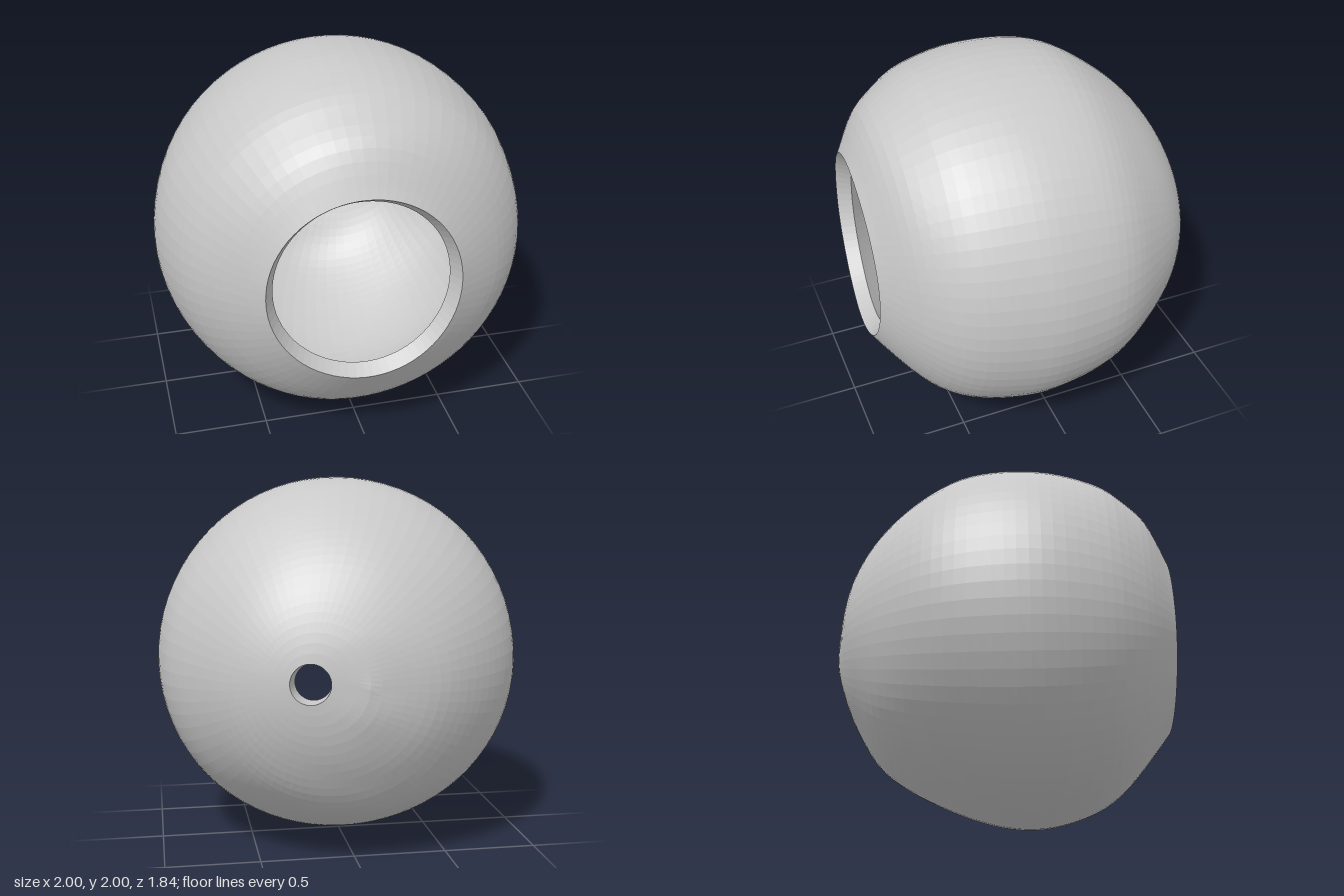
import * as THREE from 'three';

const SEGMENTS = 72, ROWS = 44, WALL = 0.09;
const FRONT_ANGLE = 0.511, BACK_ANGLE = Math.PI - 0.11;

// Meridian outlines [z, distance from the z axis], from front rim to back pole
const OUTLINES = {
  top: [[0.886, 0.53], [0.775, 0.75], [0.63, 0.865], [0.467, 0.95], [0.15, 1], [-0.23, 0.96],
    [-0.525, 0.78], [-0.74, 0.55], [-0.87, 0.27], [-0.92, 0]],
  bottom: [[0.907, 0.49], [0.67, 0.79], [0.456, 0.93], [0.16, 0.995], [-0.18, 0.93],
    [-0.6, 0.73], [-0.79, 0.48], [-0.9, 0.2], [-0.92, 0]],
  left: [[0.91, 0.444], [0.733, 0.727], [0.535, 0.895], [0.25, 0.98], [0.03, 1], [-0.25, 0.96],
    [-0.48, 0.83], [-0.72, 0.62], [-0.856, 0.36], [-0.92, 0]],
  right: [[0.866, 0.54], [0.67, 0.77], [0.43, 0.93], [0.08, 1], [-0.32, 0.92], [-0.615, 0.72],
    [-0.84, 0.4], [-0.92, 0]],
};

// Turns an outline into a lookup of radius by angle from the front axis
function radiusLookup(outline) {
  const samples = new THREE.SplineCurve(outline.map(([z, r]) => new THREE.Vector2(z, r)))
    .getPoints(160).map((p) => [Math.atan2(p.y, p.x), p.length()]);
  return (angle) => {
    const k = samples.findIndex((s) => s[0] >= angle);
    if (k === 0) return samples[0][1];
    if (k < 0) return samples[samples.length - 1][1];
    const [a0, r0] = samples[k - 1], [a1, r1] = samples[k];
    return r0 + (r1 - r0) * (angle - a0) / (a1 - a0);
  };
}

const radius = Object.fromEntries(
  Object.entries(OUTLINES).map(([name, outline]) => [name, radiusLookup(outline)]));

// Outer surface distance in a direction, blended between the four outlines
function surfaceRadius(dir) {
  const angle = Math.acos(THREE.MathUtils.clamp(dir.z, -1, 1));
  const across = dir.x * dir.x / (dir.x * dir.x + dir.y * dir.y + 1e-9);
  const side = radius[dir.x > 0 ? 'left' : 'right'](angle);
  const upright = radius[dir.y > 0 ? 'top' : 'bottom'](angle);
  return side * across + upright * (1 - across);
}

// One ring of points; the ring axis swings from the front opening to the back hole
function ring(s, inset) {
  const axis = new THREE.Vector3(-0.05, 0.02, 1)
    .lerp(new THREE.Vector3(-0.31, -0.022, 0.95), s * s).normalize();
  const u = new THREE.Vector3(0, 1, 0).cross(axis).normalize();
  const v = axis.clone().cross(u);
  const angle = THREE.MathUtils.lerp(FRONT_ANGLE, BACK_ANGLE, s);
  return Array.from({ length: SEGMENTS }, (_, j) => {
    const phi = j / SEGMENTS * Math.PI * 2;
    const dir = axis.clone().multiplyScalar(Math.cos(angle))
      .addScaledVector(u, Math.sin(angle) * Math.cos(phi))
      .addScaledVector(v, Math.sin(angle) * Math.sin(phi)).normalize();
    const p = dir.clone().multiplyScalar(surfaceRadius(dir) - inset);
    p.y += 1;
    return p;
  });
}

// Skins a list of rings
function skin(name, rings, material) {
  const index = [];
  for (let i = 0; i < rings.length - 1; i++) {
    for (let j = 0; j < SEGMENTS; j++) {
      const next = (j + 1) % SEGMENTS;
      const a = i * SEGMENTS + j, b = i * SEGMENTS + next;
      index.push(a, a + SEGMENTS, b, b, a + SEGMENTS, b + SEGMENTS);
    }
  }
  const geometry = new THREE.BufferGeometry().setFromPoints(rings.flat());
  geometry.setIndex(index);
  geometry.computeVertexNormals();
  const mesh = new THREE.Mesh(geometry, material);
  mesh.name = name;
  return mesh;
}

export function createModel() {
  const group = new THREE.Group();
  group.name = 'hollowBall';
  const grey = new THREE.MeshStandardMaterial({ color: 0xc8c8c8, flatShading: true });
  grey.name = 'light grey';

  const steps = Array.from({ length: ROWS + 1 }, (_, i) => i / ROWS);
  const outer = steps.map((s) => ring(s, 0));
  const inner = steps.map((s) => ring(s, WALL));

  group.add(
    skin('outerShell', outer, grey),
    skin('backHoleWall', [outer[ROWS], inner[ROWS]], grey),
    skin('innerShell', [...inner].reverse(), grey),
    skin('frontRim', [inner[0], outer[0]], grey),
  );
  return group;
}
